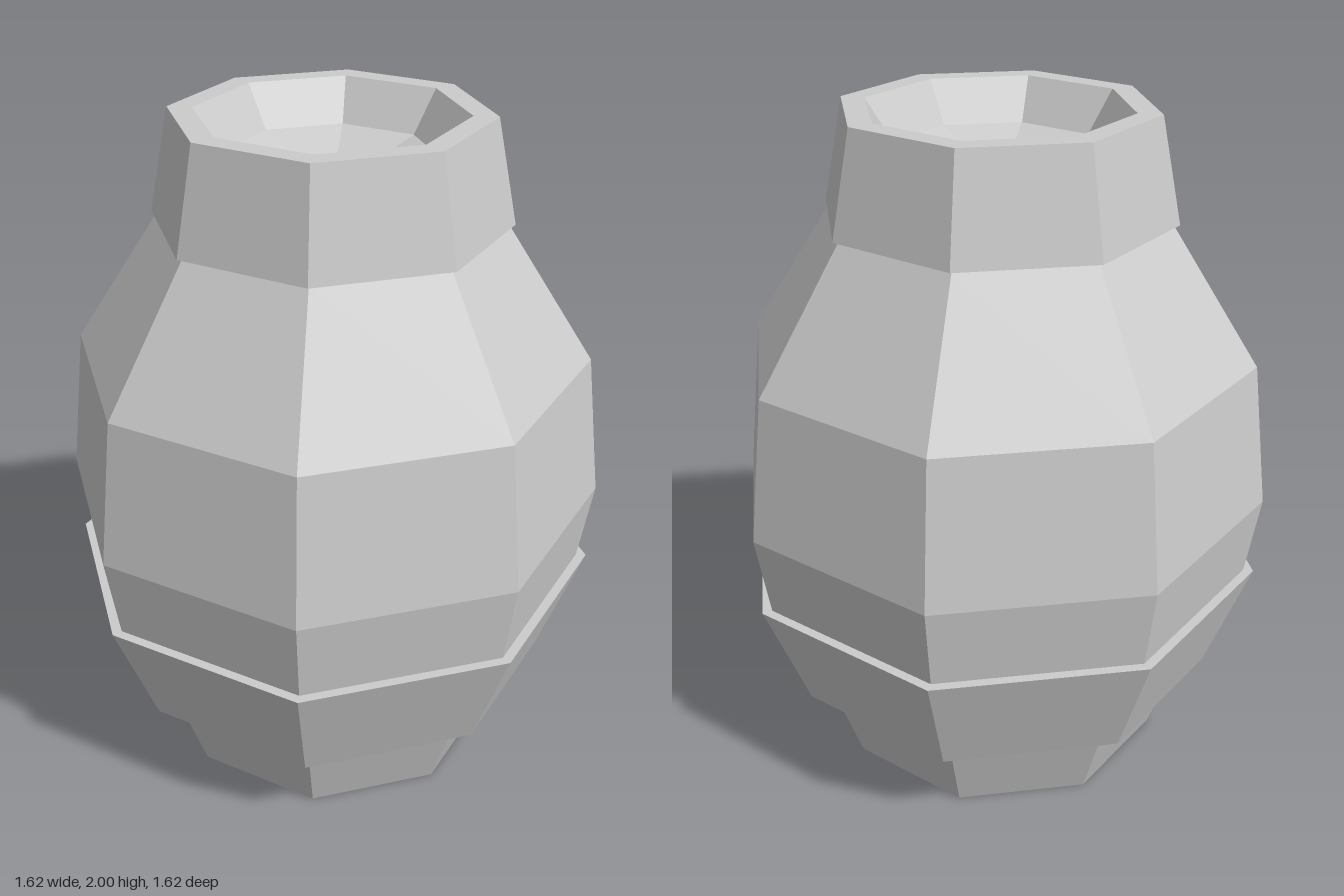
import * as THREE from 'three';

const SIDES = 8;

// Faceted ring of surfaces from a [radius, height] profile, listed from the outside bottom upwards
function lathe(name, profile, material) {
  const points = profile.map(([r, y]) => new THREE.Vector2(r, y));
  const mesh = new THREE.Mesh(new THREE.LatheGeometry(points, SIDES), material);
  mesh.name = name;
  return mesh;
}

export function createModel() {
  const group = new THREE.Group();
  group.name = 'vase';
  const clay = new THREE.MeshStandardMaterial({ color: 0xcccccc, flatShading: true });

  const parts = {
    // closed base and tapered foot
    foot: [[0, 0], [0.505, 0], [0.6, 0.275]],
    // flared band with a ledge below and above
    band: [[0.6, 0.275], [0.668, 0.275], [0.8, 0.625], [0.77, 0.625]],
    // bulging belly and shoulder
    body: [[0.77, 0.625], [0.808, 0.87], [0.755, 1.3], [0.495, 1.7]],
    // collar overhanging the shoulder, with a flat rim
    collar: [[0.495, 1.7], [0.513, 1.7], [0.452, 2], [0.382, 2]],
    // shallow mouth with a sunken floor
    mouth: [[0.382, 2], [0.302, 1.88], [0, 1.78]],
  };
  for (const [name, profile] of Object.entries(parts)) group.add(lathe(name, profile, clay));
  return group;
}
